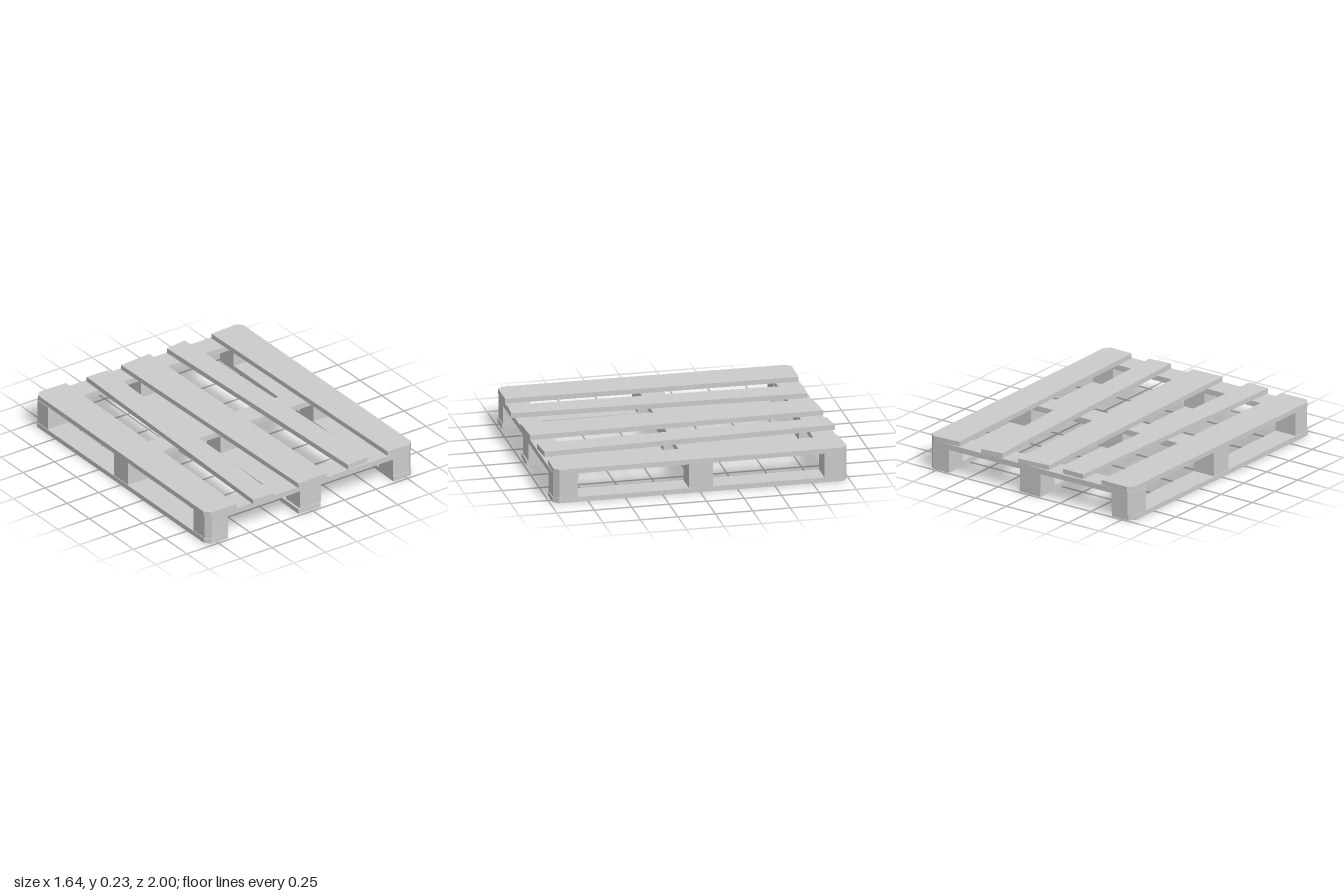
import * as THREE from 'three';

const material = new THREE.MeshStandardMaterial({ color: 0xcccccc, flatShading: true });

// Upright prism over a plan outline of [x, z] corners
function prism(name, outline, y0, y1) {
  const shape = new THREE.Shape(outline.map(([x, z]) => new THREE.Vector2(x, -z)));
  const geometry = new THREE.ExtrudeGeometry(shape, { depth: y1 - y0, bevelEnabled: false });
  geometry.rotateX(-Math.PI / 2).translate(0, y0, 0);
  const mesh = new THREE.Mesh(geometry, material);
  mesh.name = name;
  return mesh;
}

// Cuts the chosen corners of an outline at 45 degrees
function clip(corners, cut, size = 0.035) {
  return corners.flatMap((p, i) => {
    if (!cut.includes(i)) return [p];
    const toward = (q) => {
      const d = Math.hypot(q[0] - p[0], q[1] - p[1]);
      return [p[0] + (q[0] - p[0]) * size / d, p[1] + (q[1] - p[1]) * size / d];
    };
    const n = corners.length;
    return [toward(corners[(i + n - 1) % n]), toward(corners[(i + 1) % n])];
  });
}

// Corner order: back left, back right, front right, front left as seen from above
const rect = (x0, x1, z0, z1) => [[x0, z0], [x1, z0], [x1, z1], [x0, z1]];

export function createModel() {
  const pallet = new THREE.Group();
  pallet.name = 'pallet';

  // Slightly crooked deck boards; the outer two have clipped corners
  const deck = [
    [[[-0.815, -0.985], [-0.57, -0.98], [-0.59, 0.975], [-0.825, 0.975]], [0, 3], 0.23],
    [[[-0.415, -0.97], [-0.25, -0.965], [-0.31, 1.0], [-0.47, 0.99]], [], 0.23],
    [[[-0.14, -0.97], [0.095, -0.99], [0.13, 0.975], [-0.105, 0.985]], [], 0.23],
    [[[0.23, -0.98], [0.385, -1.0], [0.465, 0.957], [0.3, 0.97]], [], 0.232],
    [[[0.58, -0.975], [0.817, -0.988], [0.82, 0.975], [0.615, 0.968]], [1, 2], 0.23],
  ];
  deck.forEach(([corners, cut, top], i) =>
    pallet.add(prism(`deckBoard${i + 1}`, clip(corners, cut), 0.197, top)));

  // Cross boards under the deck
  const rows = [[-0.985, -0.83], [-0.085, 0.075], [0.815, 0.975]];
  const rowCuts = [[0, 1], [], [2, 3]];
  rows.forEach(([z0, z1], i) =>
    pallet.add(prism(`crossBoard${i + 1}`, clip(rect(-0.82, 0.82, z0, z1), rowCuts[i]), 0.16, 0.197)));

  // Nine spacer blocks, clipped only at the pallet's outer corners
  const columns = [[-0.82, -0.655], [-0.083, 0.082], [0.655, 0.818]];
  const blockCuts = { '0,0': [0], '2,0': [1], '2,2': [2], '0,2': [3] };
  columns.forEach(([x0, x1], c) => rows.forEach(([z0, z1], r) => {
    const outline = clip(rect(x0, x1, z0, z1), blockCuts[`${c},${r}`] || []);
    pallet.add(prism(`block${c * 3 + r + 1}`, outline, 0.033, 0.16));
  }));

  // Bottom runners, the middle one a little askew
  const runners = [
    [rect(-0.825, -0.66, -0.985, 0.98), [0, 3]],
    [[[-0.08, -0.985], [0.09, -0.98], [0.07, 0.985], [-0.1, 0.98]], []],
    [rect(0.655, 0.82, -0.985, 0.98), [1, 2]],
  ];
  runners.forEach(([corners, cut], i) =>
    pallet.add(prism(`runner${i + 1}`, clip(corners, cut), 0, 0.033)));

  return pallet;
}
